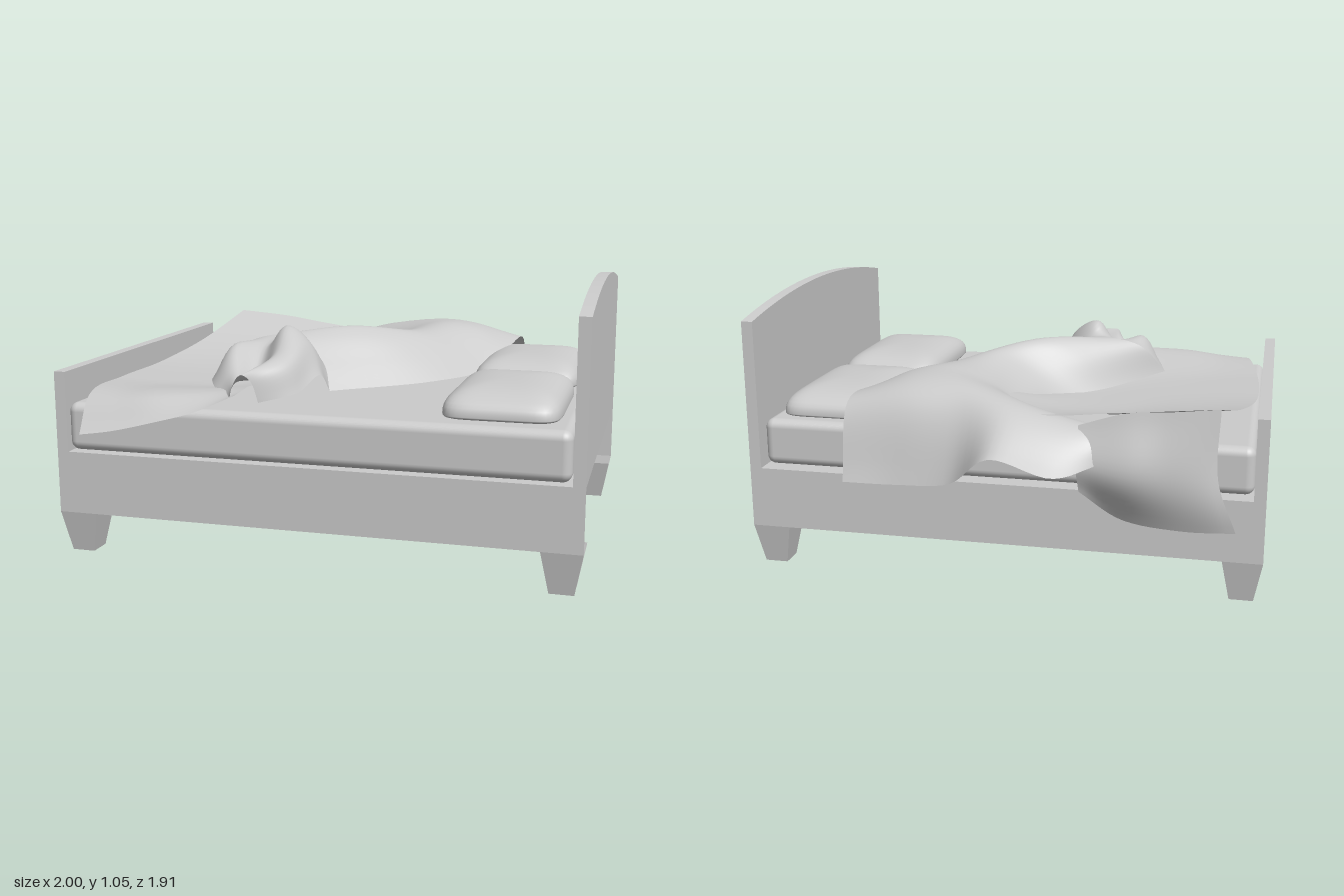
import * as THREE from 'three';
import { RoundedBoxGeometry } from 'three/addons/geometries/RoundedBoxGeometry.js';
import { mergeVertices } from 'three/addons/utils/BufferGeometryUtils.js';

const Z0 = -0.635, Z1 = 0.815, ZC = 0.09, RAIL_TOP = 0.4, RAIL_BOTTOM = 0.16;
const solid = new THREE.MeshStandardMaterial({ color: 0xcccccc });
const thin = new THREE.MeshStandardMaterial({ color: 0xcccccc, side: THREE.DoubleSide });

function add(group, name, geometry, material = solid) {
  const mesh = new THREE.Mesh(geometry, material);
  mesh.name = name;
  group.add(mesh);
  return mesh;
}

// Flat-shaded sheet made of four-cornered panels
function panels(quads) {
  const pos = [];
  for (const [a, b, c, d] of quads) pos.push(...a, ...b, ...c, ...a, ...c, ...d);
  const g = new THREE.BufferGeometry();
  g.setAttribute('position', new THREE.Float32BufferAttribute(pos, 3));
  g.computeVertexNormals();
  return g;
}

// Tapered hollow leg at a corner, open below; sx, sz point outwards. Head legs have no outer end face.
function legGeometry(sx, sz) {
  const ring = (y, near, far) => [[near, near], [far, near], [far, far], [near, far]].map(
    ([i, k]) => [sx * (1 - i), y, sz > 0 ? Z1 - k : Z0 + k]);
  const top = ring(RAIL_BOTTOM, 0, 0.15), bottom = ring(0, 0.03, 0.12);
  const quads = [];
  for (let i = 0; i < (sx > 0 ? 3 : 4); i++) {
    const j = (i + 1) % 4;
    quads.push([top[i], top[j], bottom[j], bottom[i]]);
  }
  return panels(quads);
}

// Cushion: a subdivided cube pulled onto a rounded-rectangle form, flattened underneath
function pillowGeometry(w, h, d) {
  const g = new THREE.BoxGeometry(2, 2, 2, 20, 12, 20);
  g.deleteAttribute('uv');
  g.deleteAttribute('normal');
  const p = g.attributes.position;
  for (let i = 0; i < p.count; i++) {
    const [x, y, z] = [p.getX(i), p.getY(i), p.getZ(i)];
    const side = Math.pow(Math.abs(x) ** 7 + Math.abs(z) ** 7, 1 / 7);
    const r = Math.pow(side ** 2.6 + Math.abs(y) ** 2.6, 1 / 2.6);
    p.setXYZ(i, x / r * w / 2, y / r * h * (y > 0 ? 0.8 : 0.2), z / r * d / 2);
  }
  const merged = mergeVertices(g, 1e-4);
  merged.computeVertexNormals();
  return merged;
}

// Smooth cloth surface through a small net of control points
function clothGeometry(rows, nu = 32, nv = 40) {
  const across = rows.map(r => new THREE.CatmullRomCurve3(r.map(p => new THREE.Vector3(...p))));
  const pos = [], index = [];
  for (let i = 0; i <= nu; i++) {
    const along = new THREE.CatmullRomCurve3(across.map(c => c.getPoint(i / nu)));
    for (let j = 0; j <= nv; j++) pos.push(...along.getPoint(j / nv).toArray());
  }
  for (let i = 0; i < nu; i++) for (let j = 0; j < nv; j++) {
    const a = i * (nv + 1) + j, b = a + nv + 1;
    index.push(a, a + 1, b, b, a + 1, b + 1);
  }
  const g = new THREE.BufferGeometry();
  g.setAttribute('position', new THREE.Float32BufferAttribute(pos, 3));
  g.setIndex(index);
  g.computeVertexNormals();
  return g;
}

export function createModel() {
  const bed = new THREE.Group();
  bed.name = 'bed';

  // Frame: two side rails, foot panel and platform, open below and at the head end
  const T = RAIL_TOP, B = RAIL_BOTTOM;
  add(bed, 'frame', panels([
    [[-1, B, Z1], [1, B, Z1], [1, T, Z1], [-1, T, Z1]],
    [[1, B, Z0], [-1, B, Z0], [-1, T, Z0], [1, T, Z0]],
    [[-1, B, Z0], [-1, B, Z1], [-1, T, Z1], [-1, T, Z0]],
    [[-1, T, Z1], [1, T, Z1], [1, T, Z0], [-1, T, Z0]],
  ]), thin);
  for (const sx of [-1, 1]) for (const sz of [-1, 1])
    add(bed, sx > 0 ? 'headLeg' : 'footLeg', legGeometry(sx, sz), thin);

  // Headboard with a shallow arched top
  const half = (Z1 - Z0) / 2;
  const arch = new THREE.Shape();
  arch.moveTo(-half, T);
  arch.lineTo(half, T);
  for (let i = 0; i <= 24; i++) {
    const t = 1 - i / 12;
    arch.lineTo(half * t, 1.055 - 0.07 * t * t);
  }
  const headGeo = new THREE.ExtrudeGeometry(arch, { depth: 0.045, bevelEnabled: false });
  headGeo.rotateY(Math.PI / 2);
  add(bed, 'headboard', headGeo).position.set(0.955, 0, ZC);

  // Footboard
  add(bed, 'footboard', new THREE.BoxGeometry(0.045, 0.31, Z1 - Z0))
    .position.set(-0.9775, 0.555, ZC);

  // Mattress and pillows
  add(bed, 'mattress', new RoundedBoxGeometry(1.905, 0.185, 1.41, 4, 0.035))
    .position.set(-0.0025, 0.4975, 0.105);
  for (const z of [-0.243, 0.435])
    add(bed, 'pillow', pillowGeometry(0.43, 0.12, 0.66)).position.set(0.683, 0.609, z);

  // Blanket
  const blanket = new THREE.Group();
  blanket.name = 'blanket';
  bed.add(blanket);

  // Flat part over the foot of the bed
  add(blanket, 'blanketSheet', clothGeometry([
    [[-.83, .765, -.735], [-.6, .745, -.74], [-.4, .72, -.715], [-.2, .70, -.70], [0, .72, -.68]],
    [[-.89, .67, -.36], [-.65, .65, -.36], [-.4, .63, -.36], [-.2, .64, -.36], [0, .69, -.36]],
    [[-.94, .62, 0], [-.7, .61, 0], [-.5, .605, 0], [-.3, .605, 0], [-.1, .62, -.05]],
    [[-.935, .62, .38], [-.75, .61, .38], [-.6, .605, .38], [-.45, .605, .38], [-.35, .61, .36]],
    [[-.875, .62, .78], [-.75, .625, .8], [-.6, .64, .81], [-.45, .65, .78], [-.27, .66, .72]],
    [[-.83, .505, .95], [-.7, .525, .945], [-.55, .56, .925], [-.4, .60, .895], [-.26, .66, .84]],
  ]), thin);

  // Raised fold running diagonally, hanging over the back rail
  const foldEnd = [[-.53, .64, .34], [-.43, .76, .28], [-.3, .80, .25], [-.2, .79, .27], [-.08, .70, .33], [-.03, .61, .42]];
  add(blanket, 'blanketFold', clothGeometry([
    [[-.4, .54, -.76], [-.26, .53, -.91], [-.05, .60, -.955], [.13, .46, -.84], [.35, .42, -.775], [.57, .41, -.755]],
    [[-.42, .64, -.69], [-.25, .68, -.69], [-.05, .73, -.70], [.15, .74, -.66], [.35, .73, -.65], [.585, .69, -.63]],
    [[-.25, .61, -.42], [-.05, .67, -.42], [.1, .75, -.40], [.25, .79, -.40], [.4, .77, -.40], [.555, .69, -.38]],
    [[-.13, .61, -.12], [-.02, .70, -.1], [.12, .78, -.12], [.25, .77, -.15], [.38, .70, -.16], [.485, .62, -.16]],
    [[-.31, .61, .1], [-.2, .74, .08], [-.05, .82, .07], [.08, .79, .07], [.21, .70, .09], [.32, .61, .11]],
    foldEnd,
  ]), thin);

  // Bunched-up corner near the front edge
  add(blanket, 'blanketBunch', clothGeometry([
    foldEnd,
    [[-.48, .65, .52], [-.42, .78, .42], [-.31, .76, .38], [-.23, .85, .34], [-.13, .80, .38], [-.05, .68, .47]],
    [[-.38, .64, .70], [-.34, .70, .62], [-.28, .68, .58], [-.2, .77, .58], [-.13, .75, .62], [-.09, .64, .64]],
    [[-.28, .65, .84], [-.275, .68, .835], [-.26, .72, .82], [-.245, .73, .81], [-.22, .70, .78], [-.2, .62, .76]],
  ]), thin);

  // Loose flap hanging behind the back rail
  add(blanket, 'blanketFlap', clothGeometry([
    [[-.32, .67, -.70], [-.5, .73, -.725], [-.65, .745, -.735], [-.83, .765, -.735]],
    [[-.32, .54, -.76], [-.5, .51, -.79], [-.65, .51, -.78], [-.83, .52, -.78]],
    [[-.33, .43, -.74], [-.48, .32, -.70], [-.7, .31, -.75], [-.9, .35, -.84]],
  ], 20, 16), thin);

  return bed;
}
